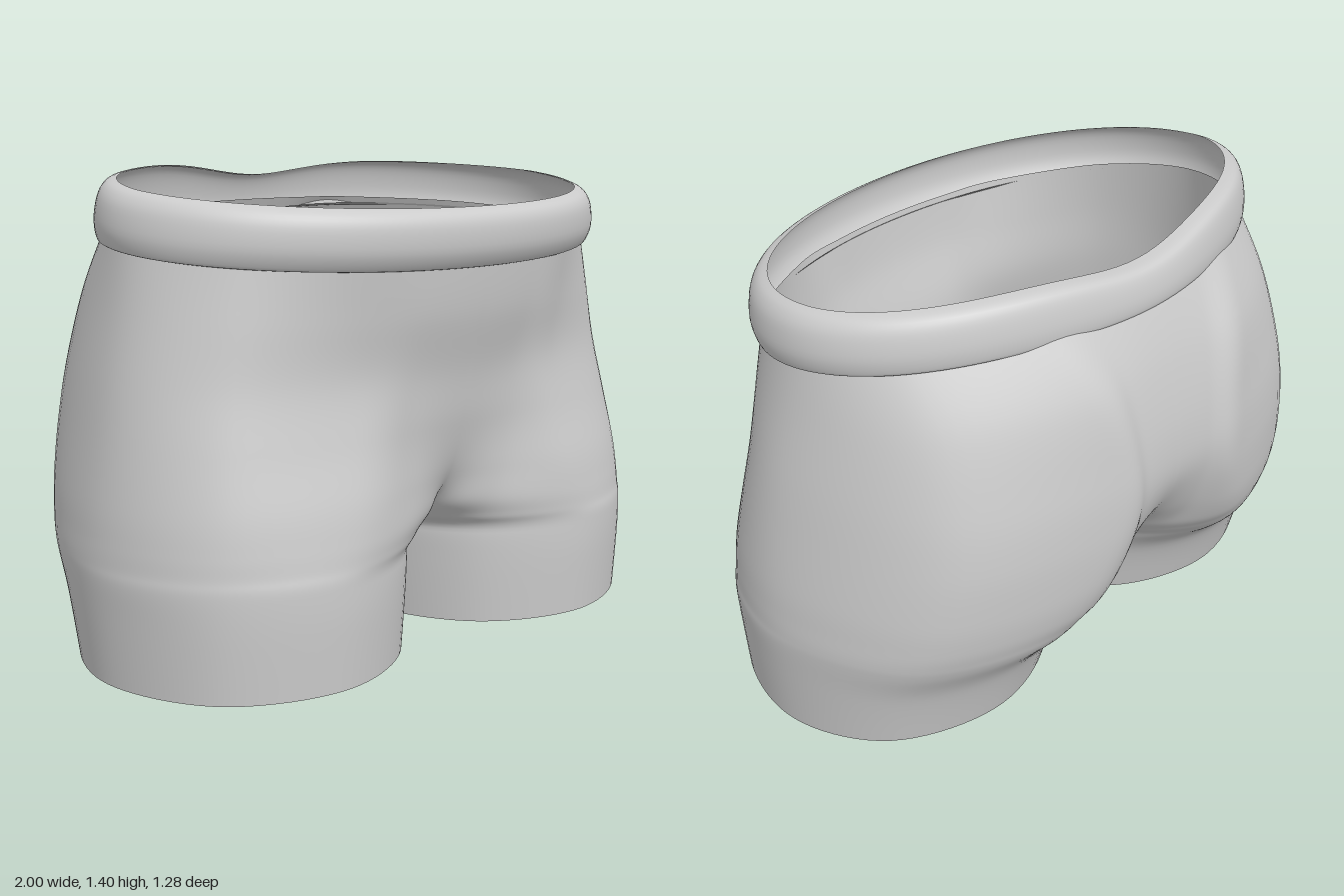
import * as THREE from 'three';
import { mergeVertices } from 'three/addons/utils/BufferGeometryUtils.js';

const lerp = THREE.MathUtils.lerp;
const material = new THREE.MeshStandardMaterial({ color: 0xcccccc, side: THREE.DoubleSide });

// Catmull-Rom between b and c, for arrays of any length
function catmull(a, b, c, d, f) {
  return b.map((p, i) => 0.5 * (2 * p + (c[i] - a[i]) * f
    + (2 * a[i] - 5 * p + 4 * c[i] - d[i]) * f * f
    + (3 * p - a[i] - 3 * c[i] + d[i]) * f * f * f));
}

// Samples a list of control arrays smoothly, n steps per span
function sample(list, n, before, after) {
  const pts = [before ?? list[0], ...list, after ?? list.at(-1)];
  const out = [];
  for (let s = 1; s < pts.length - 2; s++)
    for (let k = 0; k < n; k++) out.push(catmull(pts[s - 1], pts[s], pts[s + 1], pts[s + 2], k / n));
  out.push(list.at(-1));
  return out;
}

// Skins grids of points; a mirrored grid gets reversed winding
function skin(grids) {
  const pos = [], index = [];
  for (const { rows, flip } of grids) {
    const base = pos.length / 3, w = rows[0].length;
    for (const row of rows) for (const [x, y, z] of row) pos.push(flip ? -x : x, y, z);
    for (let i = 0; i < rows.length - 1; i++) for (let j = 0; j < w - 1; j++) {
      const a = base + i * w + j, b = a + 1, c = a + w, d = c + 1;
      index.push(...(flip ? [a, c, b, b, c, d] : [a, b, c, b, d, c]));
    }
  }
  const geo = new THREE.BufferGeometry();
  geo.setAttribute('position', new THREE.Float32BufferAttribute(pos, 3));
  geo.setIndex(index);
  const merged = mergeVertices(geo, 1e-4);
  merged.computeVertexNormals();
  return merged;
}

// Half sections of the shorts: y, half width, side z, front lobe x z, back lobe x z,
// front seam z, back seam z, inner x, leg-ness (0 torso .. 1 leg), corner fullness
const SECTIONS = [
  [0.01, 0.975, 0.08, 0.5, 0.565, 0.5, -0.38, 0.08, 0.08, 0.025, 1, 0.71],
  [0.2, 0.99, 0.07, 0.5, 0.575, 0.48, -0.44, 0.07, 0.07, 0.008, 1, 0.71],
  [0.31, 0.998, 0.06, 0.5, 0.575, 0.42, -0.525, 0.06, 0.06, 0, 1, 0.71],
  [0.36, 0.997, 0.05, 0.49, 0.572, 0.4, -0.555, 0.22, -0.12, 0, 0.95, 0.71],
  [0.42, 0.993, 0.05, 0.48, 0.568, 0.37, -0.585, 0.37, -0.32, 0, 0.8, 0.71],
  [0.52, 0.983, 0.05, 0.46, 0.555, 0.34, -0.612, 0.455, -0.5, 0, 0.5, 0.71],
  [0.68, 0.958, 0.05, 0.43, 0.52, 0.3, -0.632, 0.505, -0.6, 0, 0.2, 0.71],
  [0.85, 0.928, 0.05, 0.4, 0.5, 0.3, -0.622, 0.533, -0.612, 0, 0.1, 0.69],
  [1.05, 0.887, 0.05, 0.42, 0.51, 0.34, -0.565, 0.575, -0.565, 0, 0, 0.64],
  [1.235, 0.852, 0.05, 0.43, 0.525, 0.41, -0.43, 0.595, -0.487, 0, 0, 0.58],
];

// One half loop: front seam, round the hip, to the back seam
function halfLoop([y, X, zs, xf, zf, xb, zb, seamF, seamB, inner, leg, k]) {
  const x0 = Math.max(inner, 0), sf = Math.max(seamF, zs), sb = Math.min(seamB, zs);
  const mx = lerp(0.5, 0.293, leg), mz = lerp(0.25, 0.707, leg);
  const pts = [
    [x0, sf],
    [lerp(x0, xf, mx), lerp(sf, zf, mz)],
    [xf, zf],
    [lerp(xf, X, 0.72), lerp(zs, zf, k)],
    [X, zs],
    [lerp(xb, X, 0.72), lerp(zs, zb, k)],
    [xb, zb],
    [lerp(x0, xb, mx), lerp(sb, zb, mz)],
    [x0, sb],
  ];
  // End tangents: level across the seam on the torso, closed loop on the leg
  const q = leg ** 4, [f, b] = [pts[1], pts[7]];
  const before = [lerp(-f[0], b[0], q), lerp(f[1], b[1], q)];
  const after = [lerp(-b[0], f[0], q), lerp(b[1], f[1], q)];
  const tilt = 0.1 * THREE.MathUtils.smoothstep(y, 0.75, 1.235);
  const hem = 0.03 * (1 - THREE.MathUtils.smoothstep(y, 0, 0.2));
  return sample(pts, 10, before, after).map(([x, z]) =>
    [Math.max(x, x0), y - tilt * z + hem * Math.max(0, -z), z]);
}

function makeShorts() {
  const rows = sample(SECTIONS, 7).map(halfLoop);
  const mesh = new THREE.Mesh(skin([{ rows }, { rows, flip: true }]), material);
  mesh.name = 'shortsBody';
  return mesh;
}

// Waistband profile: half width, front z, back z, height fraction
const BAND = [
  [0.858, 0.59, -0.49, 0.04],
  [0.872, 0.605, -0.505, 0],
  [0.882, 0.632, -0.507, 0.3],
  [0.87, 0.636, -0.495, 0.7],
  [0.845, 0.62, -0.475, 0.92],
  [0.815, 0.585, -0.43, 1],
];

function makeWaistband() {
  const rows = sample(BAND, 4).map(([A, zf, zb, f]) => {
    const row = [];
    for (let j = 0; j <= 120; j++) {
      const a = (j / 120) * Math.PI * 2, c = Math.cos(a);
      const x = A * Math.sin(a), z = 0.05 + c * (c > 0 ? zf - 0.05 : 0.05 - zb);
      // The band slopes down to the front and dips at the middle of the back
      const back = Math.max(0, -c), dip = back * Math.exp(-((x / 0.28) ** 2));
      const low = 1.21 - 0.1 * z - 0.015 * dip;
      const high = 1.375 - 0.1 * z - 0.05 * dip - 0.015 * x * back;
      row.push([x, lerp(low, high, f), z]);
    }
    return row;
  });
  const mesh = new THREE.Mesh(skin([{ rows }]), material);
  mesh.name = 'waistband';
  return mesh;
}

export function createModel() {
  const group = new THREE.Group();
  group.name = 'shorts';
  group.add(makeShorts(), makeWaistband());
  return group;
}
